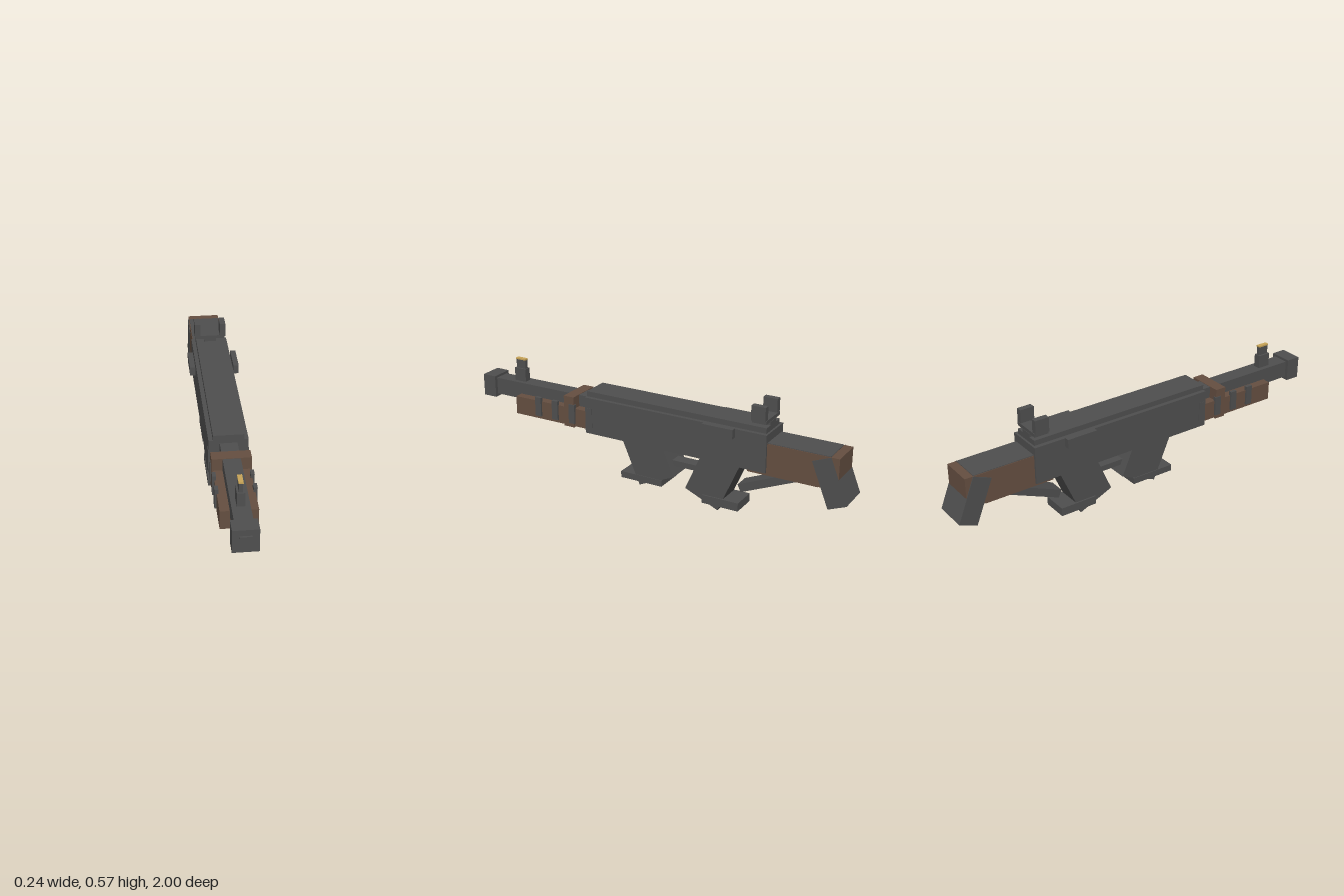
import * as THREE from 'three';

export function createModel() {
  const model = new THREE.Group();
  const material = (name, color) => {
    const m = new THREE.MeshStandardMaterial({ color });
    m.name = name;
    return m;
  };
  const steel = material('dark steel', 0x4f4f4f);
  const wood = material('brown wood', 0x654f41);
  const brass = material('brass', 0xc9a558);

  const add = (name, mat, w, h, d, x, y, z, tilt = 0) => {
    const mesh = new THREE.Mesh(new THREE.BoxGeometry(w, h, d), mat);
    mesh.name = name;
    mesh.position.set(x, y, z);
    mesh.rotation.x = tilt;
    model.add(mesh);
  };
  // Box given by its extents; x is the centre and w the full width
  const span = (name, mat, w, y0, y1, z0, z1, x = 0) =>
    add(name, mat, w, y1 - y0, z1 - z0, x, (y0 + y1) / 2, (z0 + z1) / 2);

  // Receiver and top cover
  span('receiver', steel, 0.18, 0.263, 0.446, -0.61, 0.35);
  span('topCover', steel, 0.14, 0.44, 0.472, -0.6, 0.35);

  // Barrel and muzzle
  span('barrel', steel, 0.08, 0.345, 0.43, 0.34, 0.93);
  span('muzzle', steel, 0.113, 0.331, 0.442, 0.92, 0.992);
  span('bore', steel, 0.052, 0.362, 0.413, 0.98, 1.0);

  // Wooden handguard, band and side clips
  span('handguard', wood, 0.166, 0.28, 0.372, 0.34, 0.77);
  span('handguardBand', wood, 0.178, 0.275, 0.432, 0.418, 0.475);
  for (const side of [-1, 1])
    for (const z of [0.63, 0.53, 0.43, 0.328])
      span('handguardClip', steel, 0.017, 0.295, 0.393, z - 0.017, z + 0.017, side * 0.084);

  // Front sight
  span('frontSightBase', steel, 0.035, 0.42, 0.496, 0.755, 0.82);
  span('frontSightPost', steel, 0.017, 0.49, 0.541, 0.76, 0.814);
  span('frontSightTip', brass, 0.021, 0.54, 0.547, 0.758, 0.816);

  // Rear sight
  span('rearSightBase', steel, 0.06, 0.465, 0.489, -0.6, -0.53);
  span('rearSightBar', steel, 0.146, 0.488, 0.505, -0.598, -0.528);
  for (const side of [-1, 1]) {
    span('rearSightEar', steel, 0.028, 0.499, 0.57, -0.595, -0.525, side * 0.0635);
    span('sideHandle', steel, 0.026, 0.407, 0.452, -0.457, -0.302, side * 0.108);
  }

  // Stock with top plate, lower rail, tilted butt and strut
  span('stock', wood, 0.16, 0.252, 0.404, -0.952, -0.6);
  span('stockRail', wood, 0.16, 0.25, 0.27, -0.86, -0.515);
  span('stockTopPlate', steel, 0.154, 0.401, 0.407, -0.91, -0.605);
  add('buttPad', steel, 0.168, 0.23, 0.093, 0, 0.28, -0.912, 0.38);
  add('stockStrut', steel, 0.08, 0.04, 0.38, 0, 0.208, -0.635, 0.4);

  // Magazine and grip, slanting apart, with flat feet
  add('magazine', steel, 0.145, 0.27, 0.203, 0, 0.209, 0.0165, 0.41);
  span('magazineFoot', steel, 0.152, 0.063, 0.095, -0.067, 0.158);
  add('grip', steel, 0.114, 0.3, 0.188, 0, 0.178, -0.333, -0.41);
  span('gripFoot', steel, 0.128, 0.026, 0.067, -0.468, -0.28);
  span('triggerGuard', steel, 0.06, 0.165, 0.193, -0.24, -0.09);

  return model;
}
